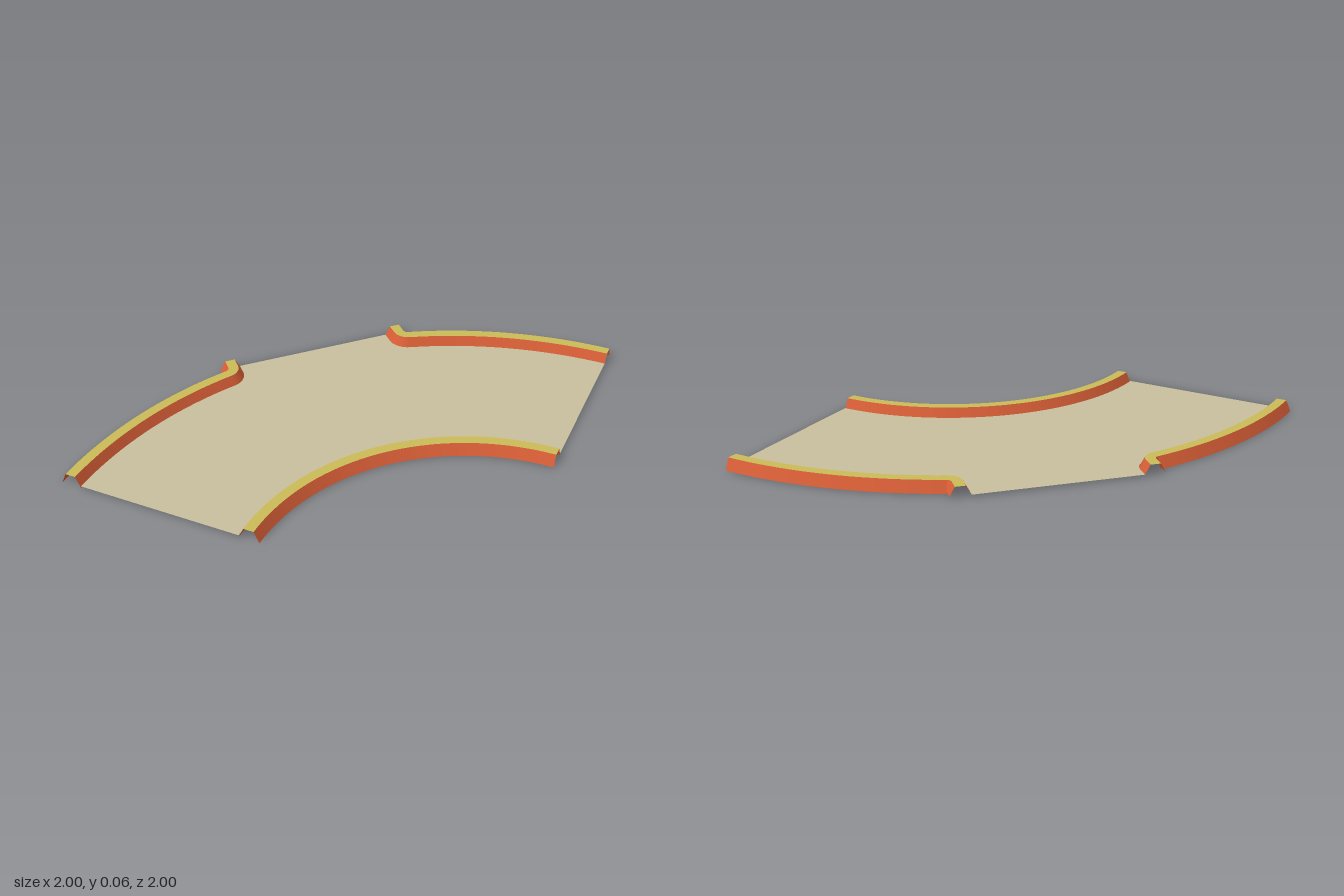
import * as THREE from 'three';

const WIDTH = 0.1, FLOOR_Y = 0.01;
// wall section: [offset from the outer edge, height]
const SECTION = [[0, 0], [0.025, 0.056], [0.075, 0.056], [WIDTH, 0]];

// A station is a point on the wall's outer edge, a direction across the wall and a base height
const station = (x, z, angle, base = 0) => ({ x, z, dx: Math.cos(angle), dz: Math.sin(angle), base });

// Arc about the corner (1, 1), starting on the x = 1 edge
function arc(radius, sweep, steps) {
  const list = [];
  for (let i = 0; i <= steps; i++) {
    const a = sweep * i / steps;
    list.push(station(1 - radius * Math.sin(a), 1 - radius * Math.cos(a), Math.PI / 2 - a));
  }
  return list;
}

// Mirror across the diagonal, reversing the order to keep faces outward
const mirror = (list) => list.map((s) => ({ x: s.z, z: s.x, dx: s.dz, dz: s.dx, base: s.base })).reverse();

// Strip of wall between two section points
function strip(stations, from, to) {
  const pos = [], index = [];
  stations.forEach((s, i) => {
    for (const [off, h] of [SECTION[from], SECTION[to]]) {
      pos.push(s.x + s.dx * off, Math.max(h, s.base), s.z + s.dz * off);
    }
    if (i > 0) {
      const k = 2 * (i - 1);
      index.push(k, k + 2, k + 1, k + 1, k + 2, k + 3);
    }
  });
  const g = new THREE.BufferGeometry();
  g.setAttribute('position', new THREE.Float32BufferAttribute(pos, 3));
  g.setIndex(index);
  g.computeVertexNormals();
  return g;
}

export function createModel() {
  const make = (name, color) => {
    const m = new THREE.MeshStandardMaterial({ color, side: THREE.DoubleSide });
    m.name = name;
    return m;
  };
  const orange = make('orange', 0xd65d36);
  const yellow = make('yellow', 0xcaba58);
  const sand = make('sand', 0xc8be9d);

  const model = new THREE.Group();
  model.name = 'curvedTrack';
  const add = (parent, name, geometry, material) => {
    const mesh = new THREE.Mesh(geometry, material);
    mesh.name = name;
    parent.add(mesh);
  };

  // Outer wall: long arc, a turn about its outer corner, then a short stub
  const sweep = THREE.MathUtils.degToRad(30.5);
  const outer = arc(2, sweep, 20);
  const corner = outer[outer.length - 1];
  const startAngle = Math.PI / 2 - sweep, endAngle = Math.PI * 0.75;
  for (let i = 1; i <= 8; i++) {
    const t = i / 8;
    outer.push(station(corner.x, corner.z, startAngle + (endAngle - startAngle) * t, FLOOR_Y * t));
  }
  outer.push(station(corner.x - 0.042, corner.z - 0.042, endAngle, FLOOR_Y));
  const outerMirrored = mirror(outer);
  const inner = arc(1.1, Math.PI / 2, 40);

  // Walls: sloped sides and a flat top, open below and at the ends
  const walls = { outerWallBack: outer, outerWallRight: outerMirrored, innerWall: inner };
  for (const [name, stations] of Object.entries(walls)) {
    const wall = new THREE.Group();
    wall.name = name;
    add(wall, 'outerSide', strip(stations, 0, 1), orange);
    add(wall, 'top', strip(stations, 1, 2), yellow);
    add(wall, 'innerSide', strip(stations, 2, 3), orange);
    model.add(wall);
  }

  // Floor: flat sheet bounded by the walls' facing edges and the straight opening
  const edge = (list, off) => list.map((s) => new THREE.Vector2(s.x + s.dx * off, -(s.z + s.dz * off)));
  const outline = [...edge(outer, WIDTH), ...edge(outerMirrored, WIDTH), ...edge(inner, 0).reverse()];
  const floor = new THREE.ShapeGeometry(new THREE.Shape(outline));
  floor.rotateX(-Math.PI / 2).translate(0, FLOOR_Y, 0);
  add(model, 'floor', floor, sand);

  return model;
}
